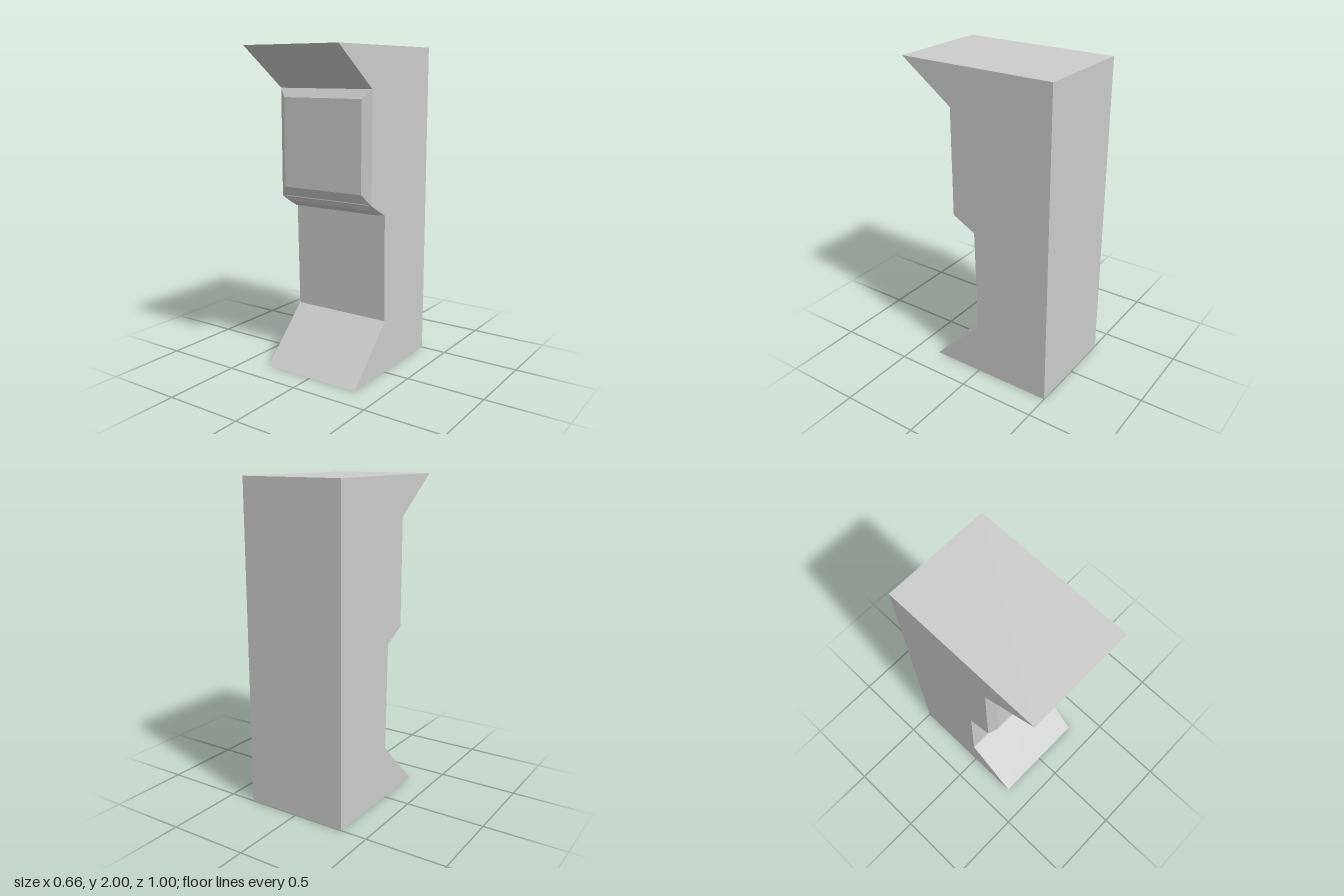
import * as THREE from 'three';

const HALF = 0.33; // half the cabinet width

// Solid cabinet: side outline (z, y) extruded across the width
function cabinetGeometry() {
  const outline = [
    [-0.5, 0], [0.335, 0], [0, 0.335], [0.015, 1.005],
    [0.165, 1.085], [0.165, 1.755], [0.5, 2], [-0.5, 2],
  ];
  const shape = new THREE.Shape(outline.map(([z, y]) => new THREE.Vector2(z, y)));
  const geometry = new THREE.ExtrudeGeometry(shape, { depth: HALF * 2, bevelEnabled: false });
  geometry.translate(0, 0, -HALF);
  geometry.rotateY(-Math.PI / 2);
  return geometry;
}

// Bevelled front panel with a faceted underside, mirrored left to right
function panelGeometry() {
  const positions = [];
  const tri = (...corners) => corners.forEach((p) => positions.push(...p));
  const flip = ([x, y, z]) => [-x, y, z];
  const mirroredTri = (a, b, c) => {
    tri(a, b, c);
    tri(flip(a), flip(c), flip(b));
  };
  // Strip across the width between a lower and an upper corner
  const strip = (low, high) => {
    tri(flip(low), low, high);
    tri(flip(low), high, flip(high));
  };

  const baseTop = [HALF, 1.755, 0.165];
  const faceTop = [0.28, 1.7, 0.2];
  const faceLow = [0.28, 1.15, 0.2];
  const baseLow = [HALF, 1.085, 0.165];
  const chin = [0.295, 1.05, 0.14];
  const under = [0.31, 1.008, 0.05];
  const seam = [HALF, 1.005, 0.015];

  // Centre bands from the underside up to the top bevel
  const bands = [seam, under, chin, faceLow, faceTop, baseTop];
  for (let i = 0; i < bands.length - 1; i++) strip(bands[i], bands[i + 1]);

  // Side bevels and lower corners
  mirroredTri(baseLow, baseTop, faceTop);
  mirroredTri(baseLow, faceTop, faceLow);
  mirroredTri(chin, baseLow, faceLow);
  mirroredTri(under, baseLow, chin);
  mirroredTri(seam, baseLow, under);

  const geometry = new THREE.BufferGeometry();
  geometry.setAttribute('position', new THREE.Float32BufferAttribute(positions, 3));
  geometry.computeVertexNormals();
  return geometry;
}

export function createModel() {
  const lightGrey = new THREE.MeshStandardMaterial({ color: 0xcccccc });
  lightGrey.name = 'lightGrey';

  const model = new THREE.Group();
  model.name = 'cabinetModel';
  const add = (name, geometry) => {
    const mesh = new THREE.Mesh(geometry, lightGrey);
    mesh.name = name;
    model.add(mesh);
  };
  add('cabinetBody', cabinetGeometry());
  add('bevelledFrontPanel', panelGeometry());
  return model;
}
